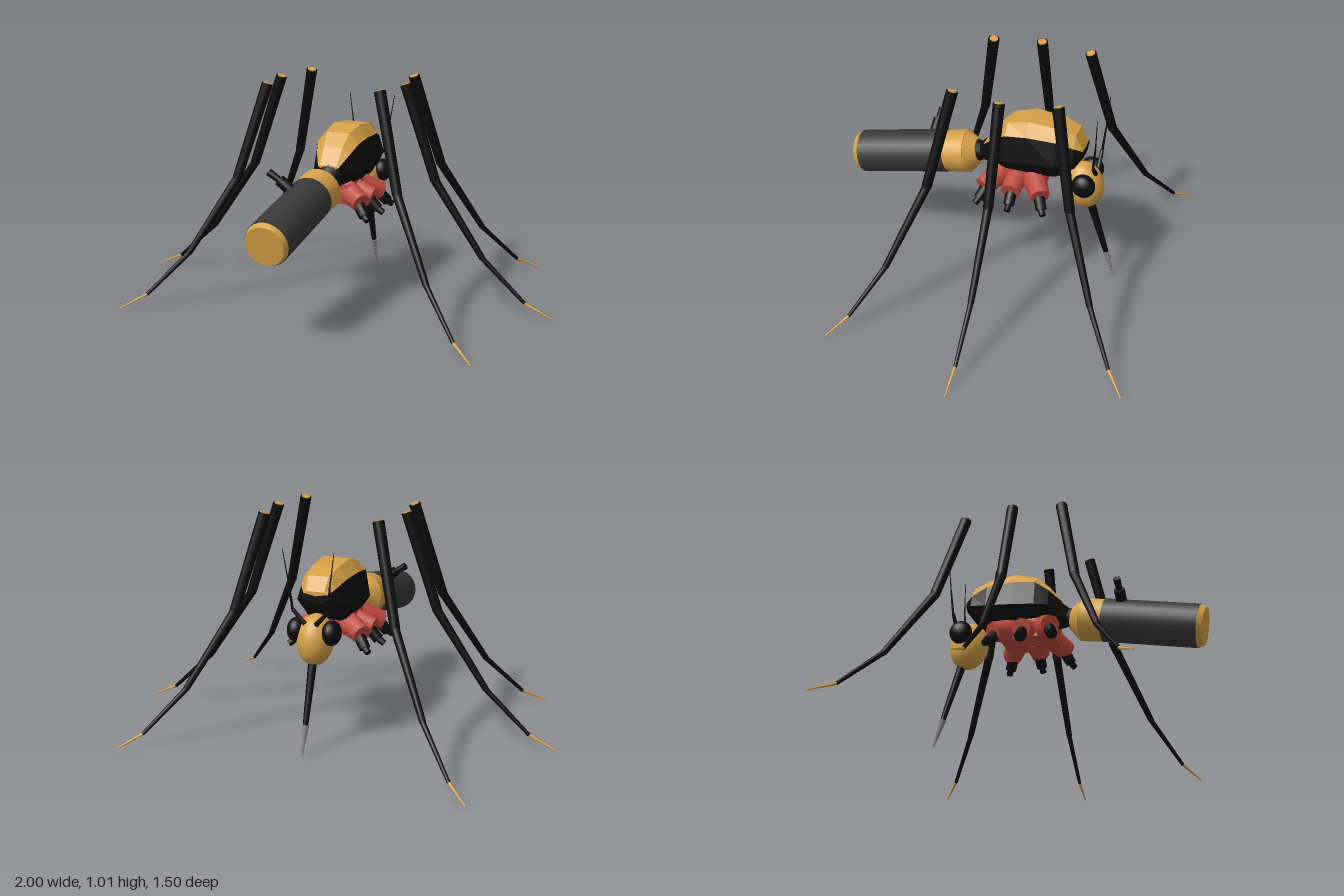
import * as THREE from 'three';

const mat = (name, color) => Object.assign(new THREE.MeshStandardMaterial({ color }), { name });

export function createModel() {
  const root = new THREE.Group();
  root.name = 'mechanicalInsect';
  const gold = mat('gold', 0xd5a046);
  const black = mat('black', 0x0c0c0c);
  const grey = mat('darkGrey', 0x393939);
  const red = mat('red', 0xc04a3e);
  const steel = mat('steel', 0x8c8c8c);

  const add = (name, geometry, material, parent = root) => {
    const mesh = new THREE.Mesh(geometry, material);
    mesh.name = name;
    parent.add(mesh);
    return mesh;
  };

  // Tapered round rod from point a to point b
  const rod = (name, a, b, ra, rb, material, parent = root, sides = 12) => {
    const p = new THREE.Vector3(...a), q = new THREE.Vector3(...b);
    const mesh = add(name, new THREE.CylinderGeometry(rb, ra, p.distanceTo(q), sides), material, parent);
    mesh.position.copy(p).add(q).multiplyScalar(0.5);
    mesh.quaternion.setFromUnitVectors(new THREE.Vector3(0, 1, 0), q.sub(p).normalize());
    return mesh;
  };

  // Flat-faced strip through a row of cross-sections
  const loft = (rings) => {
    const index = [], n = rings[0].length;
    for (let i = 0; i < rings.length - 1; i++) {
      for (let j = 0; j < n - 1; j++) {
        const a = i * n + j, c = a + n;
        index.push(a, c, a + 1, a + 1, c, c + 1);
      }
    }
    const g = new THREE.BufferGeometry();
    g.setAttribute('position', new THREE.Float32BufferAttribute(rings.flat(2), 3));
    g.setIndex(index);
    const flat = g.toNonIndexed();
    flat.computeVertexNormals();
    return flat;
  };

  // Thorax: z, bottom y, side y, side half-width, seam y, seam half-width, top y, top half-width
  const stations = [
    [0.095, 0.61, 0.61, 0, 0.61, 0, 0.61, 0],
    [0.095, 0.56, 0.60, 0.055, 0.64, 0.05, 0.645, 0.04],
    [0.04, 0.55, 0.61, 0.095, 0.69, 0.08, 0.72, 0.045],
    [-0.02, 0.54, 0.61, 0.12, 0.73, 0.10, 0.775, 0.055],
    [-0.12, 0.54, 0.62, 0.125, 0.742, 0.105, 0.80, 0.065],
    [-0.25, 0.55, 0.63, 0.125, 0.737, 0.10, 0.787, 0.06],
    [-0.33, 0.60, 0.65, 0.10, 0.71, 0.08, 0.76, 0.048],
    [-0.365, 0.65, 0.67, 0.06, 0.69, 0.055, 0.70, 0.04],
    [-0.365, 0.68, 0.68, 0, 0.68, 0, 0.68, 0],
  ];
  add('thoraxShell', loft(stations.map(([z, , , , ys, ws, yt, wt]) =>
    [[ws, ys, z], [wt, yt, z], [-wt, yt, z], [-ws, ys, z]])), gold);
  add('thoraxBelly', loft(stations.map(([z, yb, ym, w, ys, ws]) =>
    [[-ws, ys, z], [-w, ym, z], [-0.6 * w, yb, z], [0.6 * w, yb, z], [w, ym, z], [ws, ys, z]])), black);

  // Waist and canister abdomen
  rod('waistBack', [0, 0.59, 0.07], [0, 0.575, 0.115], 0.065, 0.042, black);
  rod('waistFront', [0, 0.575, 0.115], [0, 0.567, 0.16], 0.042, 0.06, black);
  rod('abdomenShoulder', [0, 0.57, 0.135], [0, 0.558, 0.185], 0.056, 0.099, gold, root, 24);
  rod('abdomenCollar', [0, 0.558, 0.185], [0, 0.542, 0.285], 0.099, 0.096, gold, root, 24);
  rod('abdomenCanister', [0, 0.542, 0.285], [0, 0.458, 0.71], 0.099, 0.099, grey, root, 24);
  rod('abdomenCap', [0, 0.458, 0.71], [0, 0.453, 0.734], 0.097, 0.087, gold, root, 24);

  // Valve on the canister
  rod('valveBase', [-0.045, 0.59, 0.375], [-0.105, 0.635, 0.375], 0.025, 0.025, black);
  rod('valveStem', [-0.105, 0.635, 0.375], [-0.155, 0.665, 0.375], 0.014, 0.017, black);

  // Head with eyes
  const head = add('head', new THREE.SphereGeometry(1, 24, 16), gold);
  head.scale.set(0.08, 0.113, 0.09);
  head.position.set(0, 0.49, -0.365);
  head.rotation.x = 0.2;
  for (const s of [1, -1]) {
    const eye = add('eye', new THREE.SphereGeometry(1, 20, 14), black);
    eye.scale.set(0.042, 0.055, 0.054);
    eye.position.set(s * 0.08, 0.53, -0.38);
    // Antenna
    rod('antennaBase', [s * 0.025, 0.57, -0.42], [s * 0.08, 0.63, -0.42], 0.011, 0.008, black, root, 8);
    rod('antennaStem', [s * 0.08, 0.62, -0.42], [s * 0.093, 0.74, -0.43], 0.006, 0.004, black, root, 6);
    rod('antennaTip', [s * 0.093, 0.74, -0.43], [s * 0.116, 0.89, -0.438], 0.003, 0.0015, black, root, 6);
  }

  // Proboscis ending in a ribbed drill
  rod('proboscis', [0, 0.41, -0.395], [0, 0.14, -0.482], 0.02, 0.012, black);
  for (let i = 0; i < 6; i++) {
    const at = (t) => [0, 0.14 - 0.13 * t, -0.482 - 0.042 * t];
    rod('drillRib', at(i / 6), at((i + 1) / 6), 0.018 - i * 0.0022, 0.013 - i * 0.0022, steel, root, 8);
  }

  // Red undercarriage
  const chassis = add('chassis', new THREE.BoxGeometry(0.17, 0.09, 0.25), red);
  chassis.position.set(0, 0.51, -0.065);

  // Legs: hip start, foot end, socket direction in plan
  const legs = [
    { start: [0.267, 0.155], end: [0.82, 0.565], hip: [0.09, 0.03], dir: [0.8, 0.5] },
    { start: [0.305, -0.065], end: [1.0, -0.065], hip: [0.08, -0.065], dir: [1, 0] },
    { start: [0.26, -0.305], end: [0.785, -0.748], hip: [0.09, -0.165], dir: [0.8, -0.5] },
  ];
  const knots = [[0, 1.01], [0.21, 0.585], [0.54, 0.25], [0.825, 0.067], [1, 0.012]];
  const radii = [[0.026, 0.022], [0.02, 0.014], [0.012, 0.008], [0.0065, 0.003]];
  const names = ['upperLeg', 'middleLeg', 'lowerLeg', 'foot'];
  for (const s of [1, -1]) {
    for (const { start, end, hip, dir } of legs) {
      const leg = new THREE.Group();
      leg.name = 'leg';
      root.add(leg);
      const at = ([t, y]) => [s * (start[0] + (end[0] - start[0]) * t), y, start[1] + (end[1] - start[1]) * t];
      names.forEach((name, i) =>
        rod(name, at(knots[i]), at(knots[i + 1]), ...radii[i], i === 3 ? gold : black, leg));
      // Gold disc in the open top
      const top = at(knots[0]), next = at(knots[1]);
      const lift = top.map((v, k) => v + (v - next[k]) * 0.008);
      rod('legTopDisc', top, lift, 0.02, 0.02, gold, leg);

      // Hip socket and peg
      const out = (d, y) => [s * (hip[0] + dir[0] * d), y, hip[1] + dir[1] * d];
      rod('hipSocket', out(-0.04, 0.515), out(0.075, 0.48), 0.055, 0.045, red, leg, 8);
      rod('hipPeg', out(0.05, 0.475), out(0.1, 0.425), 0.027, 0.025, black, leg);
      rod('hipPin', out(0.1, 0.425), out(0.125, 0.41), 0.015, 0.015, black, leg);
    }
  }
  return root;
}
